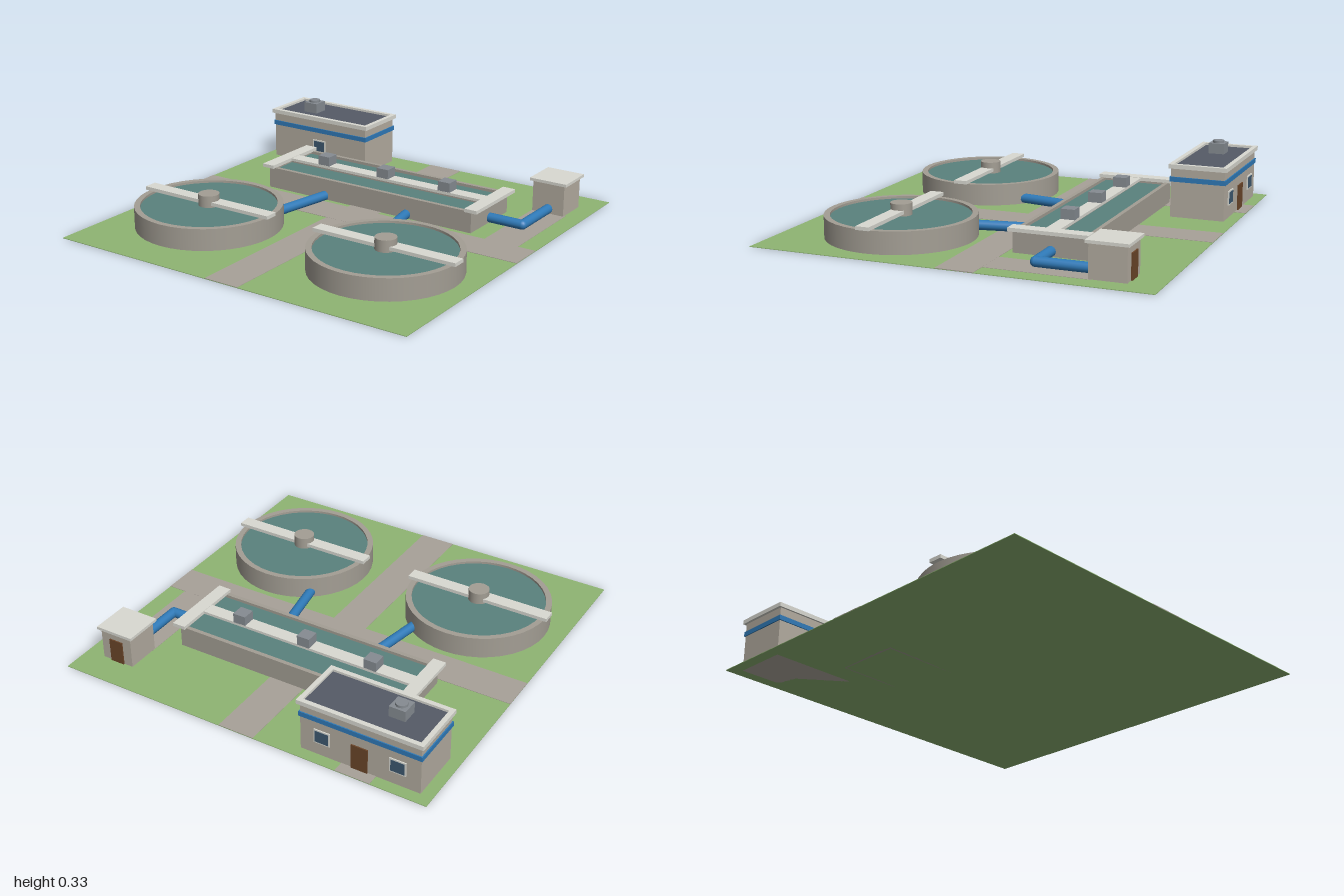
import * as THREE from 'three';

const mat = (color) => new THREE.MeshStandardMaterial({ color });
const M = {
  grass: mat(0x8fb573), road: mat(0xa8a199), concrete: mat(0xa39e94), wall: mat(0xb3aca0),
  pale: mat(0xdadad2), water: mat(0x5a827e), blue: mat(0x2f7ab8), roof: mat(0x555b67),
  metal: mat(0x868c92), door: mat(0x6b4529), glass: mat(0x3d5870),
};

function add(parent, name, geo, material, x = 0, y = 0, z = 0) {
  const m = new THREE.Mesh(geo, material);
  m.name = name;
  m.position.set(x, y, z);
  parent.add(m);
  return m;
}

// Box given by its extents on each axis
function block(parent, name, material, [x0, x1], [y0, y1], [z0, z1]) {
  return add(parent, name, new THREE.BoxGeometry(x1 - x0, y1 - y0, z1 - z0), material,
    (x0 + x1) / 2, (y0 + y1) / 2, (z0 + z1) / 2);
}

function group(parent, name) {
  const g = new THREE.Group();
  g.name = name;
  parent.add(g);
  return g;
}

// Rectangular ring of walls standing on y0
function frame(parent, name, material, [x0, x1], [y0, y1], [z0, z1], t) {
  const rect = (P, i) => new P([[x0 + i, -z1 + i], [x1 - i, -z1 + i], [x1 - i, -z0 - i], [x0 + i, -z0 - i]]
    .map(([x, y]) => new THREE.Vector2(x, y)));
  const shape = rect(THREE.Shape, 0);
  shape.holes.push(rect(THREE.Path, t));
  const geo = new THREE.ExtrudeGeometry(shape, { depth: y1 - y0, bevelEnabled: false });
  geo.rotateX(-Math.PI / 2);
  return add(parent, name, geo, material, 0, y0, 0);
}

// Straight pipe between two ground points
function pipe(parent, name, [xa, za], [xb, zb], r = 0.025) {
  const d = new THREE.Vector3(xb - xa, 0, zb - za);
  const p = add(parent, name, new THREE.CylinderGeometry(r, r, d.length(), 16), M.blue,
    (xa + xb) / 2, 0.03, (za + zb) / 2);
  p.quaternion.setFromUnitVectors(new THREE.Vector3(0, 1, 0), d.normalize());
}

// Round settling tank with bridge and hub
function clarifier(parent, x, z) {
  const g = group(parent, 'clarifier');
  g.position.set(x, 0, z);
  // Repeated corner points keep the rim edges sharp
  const profile = [[0.375, 0], [0.375, 0.115], [0.375, 0.115], [0.345, 0.115], [0.345, 0.115], [0.345, 0.02]]
    .map(([r, y]) => new THREE.Vector2(r, y));
  add(g, 'tankWall', new THREE.LatheGeometry(profile, 40), M.concrete);
  add(g, 'water', new THREE.CylinderGeometry(0.346, 0.346, 0.09, 40), M.water, 0, 0.058, 0);
  block(g, 'bridge', M.pale, [-0.393, 0.393], [0.117, 0.135], [-0.035, 0.035]);
  add(g, 'hub', new THREE.CylinderGeometry(0.054, 0.054, 0.06, 20), M.concrete, 0, 0.136, 0);
}

// Window with pale surround, facing z direction s
function windowUnit(parent, x, y, z, s) {
  add(parent, 'windowFrame', new THREE.BoxGeometry(0.084, 0.074, 0.008), M.pale, x, y, z + s * 0.002);
  add(parent, 'windowPane', new THREE.BoxGeometry(0.07, 0.06, 0.012), M.glass, x, y, z + s * 0.002);
}

export function createModel() {
  const model = new THREE.Group();
  model.name = 'waterTreatmentPlant';

  // Ground and roads
  block(model, 'ground', M.grass, [-1, 1], [0, 0.003], [-1, 1]);
  const roads = group(model, 'roads');
  const lane = (x, z, top) => block(roads, 'road', M.road, x, [0.001, top], z);
  lane([-0.095, 0.095], [-1, 1], 0.0045);
  lane([-1, 1], [-0.16, 0.03], 0.005);
  lane([-0.715, -0.535], [-1, -0.385], 0.0045);
  lane([0.72, 0.905], [-0.68, -0.15], 0.0045);

  // Round tanks and their feed pipes
  for (const s of [-1, 1]) {
    clarifier(model, s * 0.53, 0.437);
    pipe(model, 'tankPipe', [s * 0.312, 0.16], [s * 0.252, -0.178]);
  }

  // Long aeration basin
  const basin = group(model, 'aerationBasin');
  frame(basin, 'basinWall', M.concrete, [-0.625, 0.625], [0, 0.115], [-0.565, -0.19], 0.022);
  block(basin, 'water', M.water, [-0.61, 0.61], [0.01, 0.1], [-0.55, -0.205]);
  block(basin, 'dividerWall', M.concrete, [-0.61, 0.61], [0.01, 0.115], [-0.395, -0.36]);
  block(basin, 'centreWalkway', M.pale, [-0.6, 0.6], [0.115, 0.129], [-0.413, -0.342]);
  for (const s of [-1, 1])
    add(basin, 'endWalkway', new THREE.BoxGeometry(0.07, 0.018, 0.4), M.pale, s * 0.627, 0.122, -0.378);
  for (const x of [-0.375, 0, 0.375])
    add(basin, 'aerator', new THREE.BoxGeometry(0.07, 0.052, 0.07), M.metal, x, 0.153, -0.378);

  // Pipe from basin to pump house, with elbow
  pipe(model, 'pumpPipe', [0.6, -0.38], [0.812, -0.38]);
  pipe(model, 'pumpPipe', [0.812, -0.38], [0.812, -0.67]);
  add(model, 'pipeElbow', new THREE.SphereGeometry(0.025, 16, 12), M.blue, 0.812, 0.03, -0.38);

  // Control building
  const house = group(model, 'controlBuilding');
  block(house, 'walls', M.wall, [-0.94, -0.32], [0, 0.262], [-0.94, -0.66]);
  block(house, 'blueBand', M.blue, [-0.946, -0.314], [0.188, 0.213], [-0.946, -0.654]);
  block(house, 'roofDeck', M.roof, [-0.935, -0.325], [0.255, 0.267], [-0.935, -0.665]);
  frame(house, 'parapet', M.pale, [-0.953, -0.307], [0.257, 0.279], [-0.953, -0.649], 0.024);
  block(house, 'roofUnit', M.metal, [-0.796, -0.712], [0.262, 0.322], [-0.83, -0.746]);
  add(house, 'roofFan', new THREE.CylinderGeometry(0.03, 0.03, 0.016, 16), M.metal, -0.754, 0.326, -0.788);
  block(house, 'door', M.door, [-0.672, -0.588], [0.003, 0.135], [-0.947, -0.935]);
  for (const x of [-0.825, -0.435]) windowUnit(house, x, 0.107, -0.94, -1);
  windowUnit(house, -0.63, 0.107, -0.66, 1);

  // Pump house
  const pump = group(model, 'pumpHouse');
  block(pump, 'walls', M.wall, [0.722, 0.898], [0, 0.17], [-0.842, -0.662]);
  block(pump, 'roofSlab', M.pale, [0.707, 0.913], [0.168, 0.183], [-0.855, -0.65]);
  block(pump, 'door', M.door, [0.772, 0.848], [0.003, 0.128], [-0.849, -0.838]);

  return model;
}
